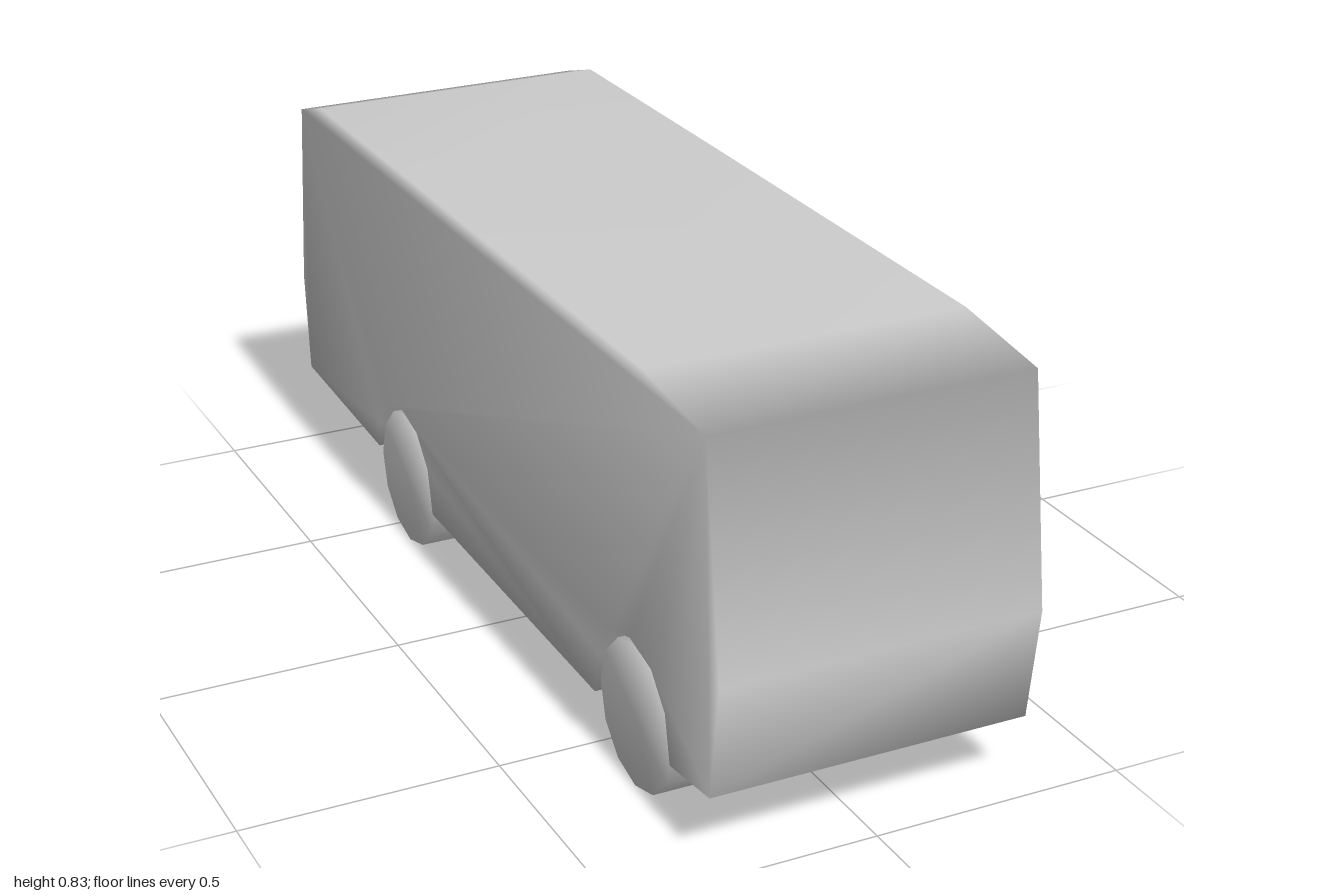
import * as THREE from 'three';
import { mergeVertices } from 'three/addons/utils/BufferGeometryUtils.js';

const HALF = 0.315; // half width of the body
const WELL = 0.22;  // inner wall of the wheel wells
const material = new THREE.MeshStandardMaterial({ color: 0xcccccc });

// Share corners so that the normals run smoothly over every edge
function smooth(geometry) {
  geometry.deleteAttribute('uv');
  geometry.deleteAttribute('normal');
  const merged = mergeVertices(geometry, 1e-4);
  merged.computeVertexNormals();
  return merged;
}

function createBody() {
  // Side outline as [z, y]: up the front, back along the roof, down the rear
  const shell = [
    [0.82, 0.127], [0.97, 0.145], [1, 0.37], [0.94, 0.805], [0.71, 0.832], [-0.28, 0.83],
    [-0.84, 0.827], [-0.96, 0.79], [-1, 0.39], [-0.98, 0.18], [-0.56, 0.16],
  ];
  // Wheel arches, from rear foot to front foot
  const rearArch = [
    [-0.56, 0.16], [-0.55, 0.215], [-0.5, 0.277], [-0.42, 0.3], [-0.34, 0.28], [-0.285, 0.22], [-0.265, 0.128],
  ];
  const frontArch = [
    [0.515, 0.117], [0.53, 0.205], [0.58, 0.277], [0.66, 0.3], [0.745, 0.28], [0.8, 0.22], [0.82, 0.127],
  ];
  const positions = [];

  // Strip across the width from outline point a to b
  const strip = (a, b, x0, x1) => {
    const p = [x0, a[1], a[0]], q = [x1, a[1], a[0]], r = [x1, b[1], b[0]], s = [x0, b[1], b[0]];
    positions.push(...p, ...q, ...r, ...p, ...r, ...s);
  };
  // Matching flat panels on both sides, facing outward
  const panels = (outline, x) => {
    const contour = outline.map(([z, y]) => new THREE.Vector2(z, y));
    for (const tri of THREE.ShapeUtils.triangulateShape(contour, [])) {
      for (const i of tri) positions.push(-x, outline[i][1], outline[i][0]);
      for (const i of [...tri].reverse()) positions.push(x, outline[i][1], outline[i][0]);
    }
  };

  // Front, roof, rear and floor
  for (let i = 0; i < shell.length - 1; i++) strip(shell[i], shell[i + 1], -HALF, HALF);
  strip(rearArch[6], frontArch[0], -HALF, HALF);

  // Wheel wells, with the floor running on between them
  for (const arch of [rearArch, frontArch]) {
    for (let i = 0; i < arch.length - 1; i++) {
      strip(arch[i], arch[i + 1], -HALF, -WELL);
      strip(arch[i], arch[i + 1], WELL, HALF);
    }
    strip(arch[0], arch[6], -WELL, WELL);
    panels(arch, WELL);
  }

  // Side walls
  panels([...shell, ...rearArch.slice(1), ...frontArch.slice(0, -1)], HALF);

  const geometry = new THREE.BufferGeometry();
  geometry.setAttribute('position', new THREE.Float32BufferAttribute(positions, 3));
  const body = new THREE.Mesh(smooth(geometry), material);
  body.name = 'body';
  return body;
}

export function createModel() {
  const group = new THREE.Group();
  group.name = 'van';
  group.add(createBody());

  // Four solid wheels
  const wheelGeometry = smooth(new THREE.CylinderGeometry(0.143, 0.143, 0.08, 12).rotateZ(Math.PI / 2));
  for (const [end, z] of [['front', 0.667], ['rear', -0.418]]) {
    for (const [side, sign] of [['Left', 1], ['Right', -1]]) {
      const wheel = new THREE.Mesh(wheelGeometry, material);
      wheel.name = `${end}${side}Wheel`;
      wheel.position.set(sign * 0.267, 0.143, z);
      group.add(wheel);
    }
  }
  return group;
}
